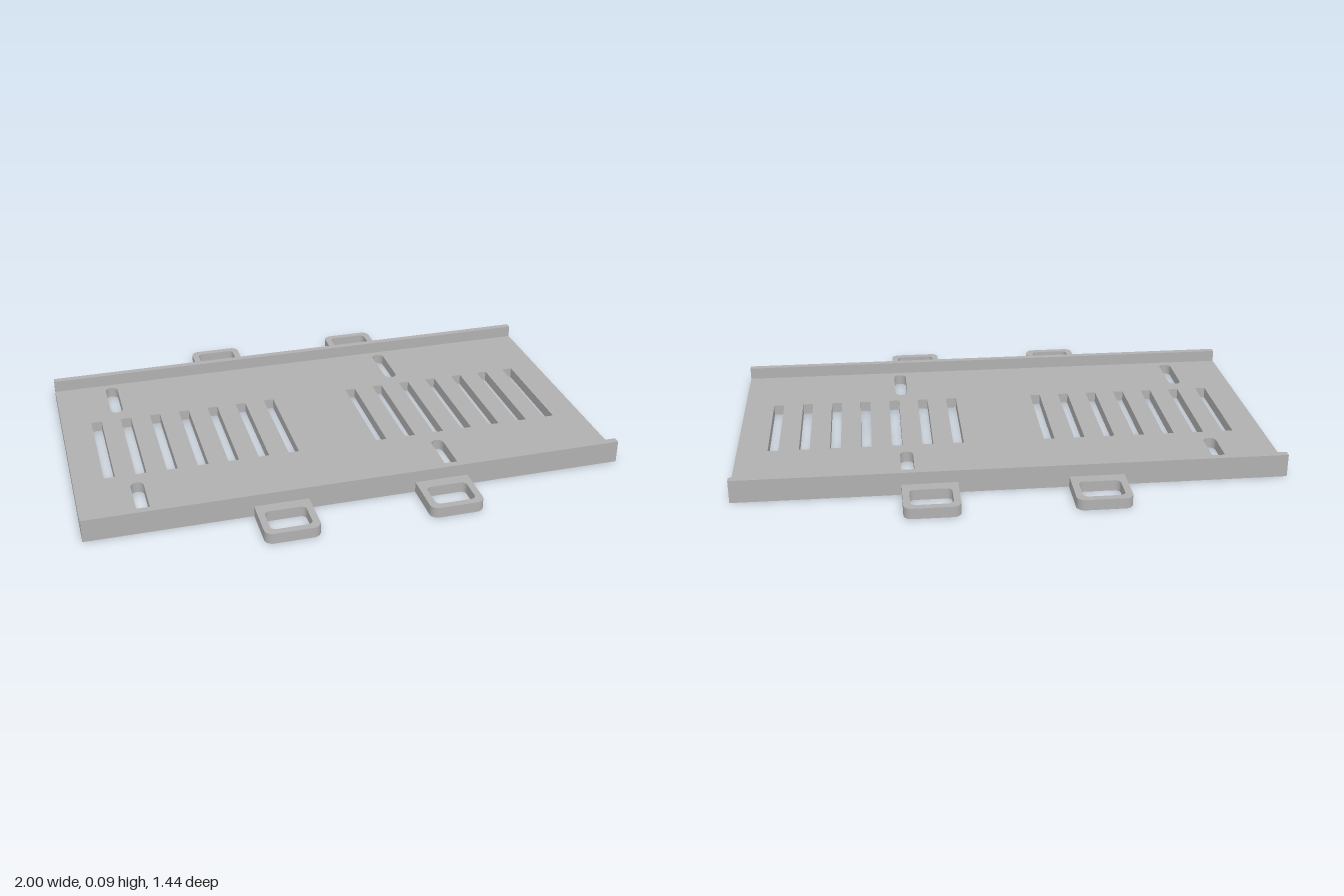
import * as THREE from 'three';

const FLOOR = 0.04, RAIL_H = 0.086, HALF_W = 0.536, RAIL_T = 0.026, TAB_END = 0.718;

// Rounded rectangle centred on (cx, cy); square corners when r = 0
function roundedRect(target, cx, cy, w, h, r) {
  const x0 = cx - w / 2, x1 = cx + w / 2, y0 = cy - h / 2, y1 = cy + h / 2;
  target.moveTo(x0 + r, y0);
  target.lineTo(x1 - r, y0);
  if (r) target.absarc(x1 - r, y0 + r, r, -Math.PI / 2, 0);
  target.lineTo(x1, y1 - r);
  if (r) target.absarc(x1 - r, y1 - r, r, 0, Math.PI / 2);
  target.lineTo(x0 + r, y1);
  if (r) target.absarc(x0 + r, y1 - r, r, Math.PI / 2, Math.PI);
  target.lineTo(x0, y0 + r);
  if (r) target.absarc(x0 + r, y0 + r, r, Math.PI, Math.PI * 1.5);
  return target;
}

// Flat shape extruded upward from y = 0
function slab(shape, height) {
  const geo = new THREE.ExtrudeGeometry(shape, { depth: height, bevelEnabled: false, curveSegments: 8 });
  return geo.rotateX(-Math.PI / 2);
}

export function createModel() {
  const group = new THREE.Group();
  const grey = new THREE.MeshStandardMaterial({ color: 0xb0b0b0 });
  grey.name = 'plain grey';
  const add = (name, geo) => {
    const mesh = new THREE.Mesh(geo, grey);
    mesh.name = name;
    group.add(mesh);
    return mesh;
  };

  // Floor plate with two banks of vent slots and four mounting slots
  const floor = roundedRect(new THREE.Shape(), 0, 0, 2, 2 * (HALF_W - RAIL_T), 0);
  for (const side of [-1, 1]) {
    for (let i = 0; i < 7; i++) {
      const x = side * (0.173 + i * 0.1155);
      floor.holes.push(roundedRect(new THREE.Path(), x, 0, 0.04, 0.424, 0));
    }
    for (const x of [-0.776, 0.372]) {
      floor.holes.push(roundedRect(new THREE.Path(), x, side * 0.377, 0.048, 0.214, 0.0239));
    }
  }
  add('floorPlate', slab(floor, FLOOR));

  for (const side of [-1, 1]) {
    const end = side > 0 ? 'front' : 'back';

    // Upright rail along the long edge
    const rail = add(end + 'Rail', new THREE.BoxGeometry(2, RAIL_H, RAIL_T));
    rail.position.set(0, RAIL_H / 2, side * (HALF_W - RAIL_T / 2));

    // Strap loops, rounded on their outer corners
    for (const x of [-0.299, 0.299]) {
      const r = 0.03, w = 0.1;
      const loop = new THREE.Shape();
      loop.moveTo(-w, HALF_W);
      loop.lineTo(w, HALF_W);
      loop.lineTo(w, TAB_END - r);
      loop.absarc(w - r, TAB_END - r, r, 0, Math.PI / 2);
      loop.lineTo(-w + r, TAB_END);
      loop.absarc(-w + r, TAB_END - r, r, Math.PI / 2, Math.PI);
      loop.lineTo(-w, HALF_W);
      loop.holes.push(roundedRect(new THREE.Path(), 0, 0.636, 0.15, 0.112, 0.02));
      const mesh = add(end + (x > 0 ? 'Left' : 'Right') + 'StrapLoop', slab(loop, FLOOR));
      mesh.position.x = x;
      if (side > 0) mesh.rotation.y = Math.PI;
    }
  }
  return group;
}
